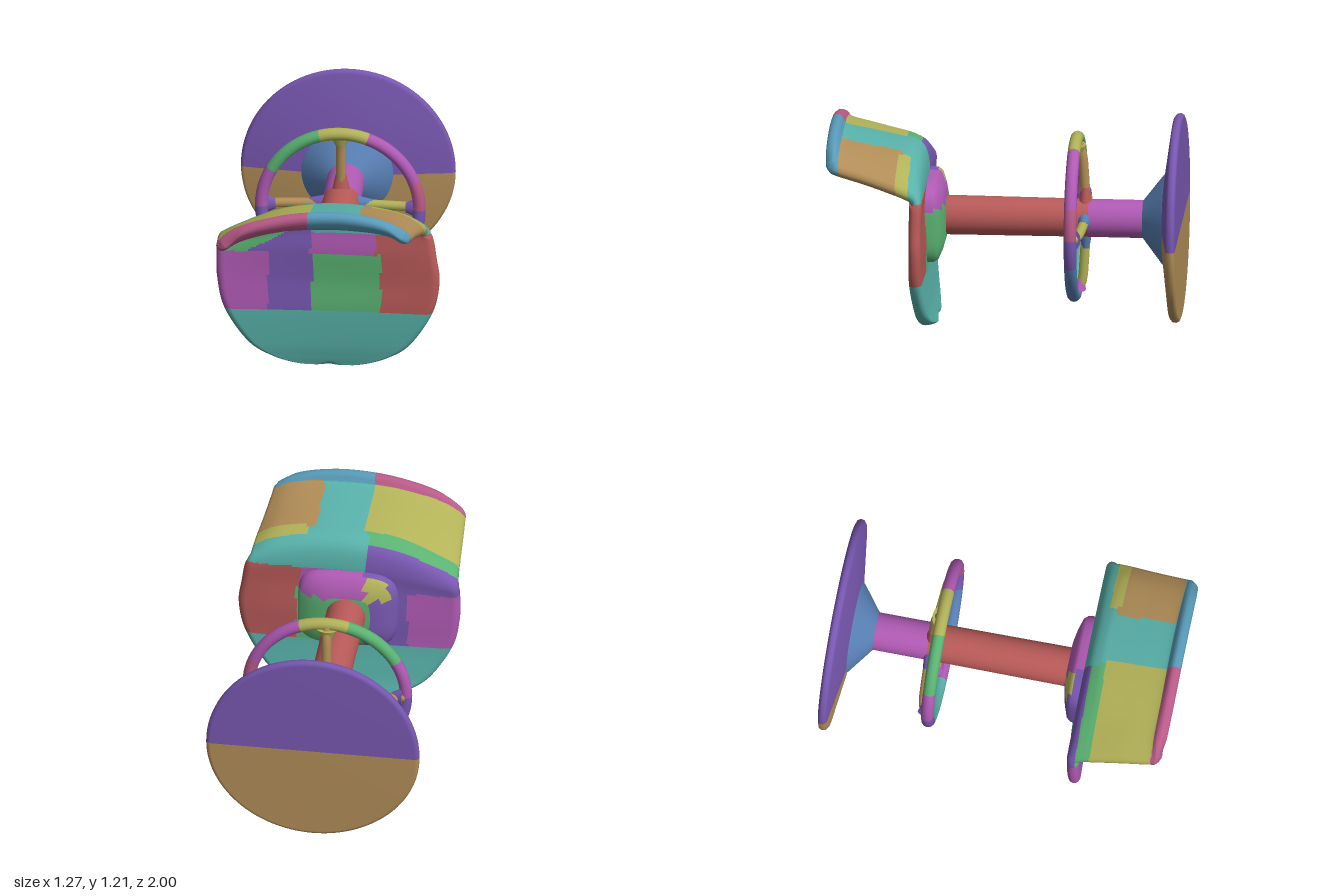
import * as THREE from 'three';
import { mergeVertices } from 'three/addons/utils/BufferGeometryUtils.js';

const colours = {
  red: 0xb85a58, green: 0x5ab272, purple: 0x7958b2, magenta: 0xb05ab4, teal: 0x58b2aa,
  blue: 0x587fb4, olive: 0xb2b258, brown: 0xb28e58, pink: 0xb85a88, cyan: 0x589ab8,
};
const names = Object.keys(colours);

// Colour panels of the seat shell
function panelColour(x, y, z) {
  if (z > 0.92) return x < -0.08 ? 'pink' : 'cyan';
  if (z > 0.57) return x < -0.08 ? 'olive' : x < 0.2 ? 'teal' : x > 0.25 && z < 0.59 ? 'olive' : 'brown';
  if (y < 0.36) return 'teal';
  if (y < 0.72) return x < -0.34 ? 'magenta' : x < -0.09 ? 'purple' : x < 0.3 ? 'green' : 'red';
  if (x < -0.1) return z < 0.49 || y < 0.73 + 0.54 * (x + 0.45) ? 'purple' : 'green';
  if (y < 0.85) return x < 0.27 ? 'magenta' : 'red';
  return x > 0.25 && z > 0.52 ? 'olive' : 'teal';
}

// Colour panels of the mounting plate
function plateColour(x, y, z) {
  if (x > -0.23 && x < -0.1 && y > 0.72 && z < 0.42) return 'olive';
  return x < -0.1 ? 'purple' : y > 0.72 ? 'magenta' : 'green';
}

// Indexed geometry from quads, grouped by the colour at each quad's centre
function paintedQuads(points, quads, paint) {
  const lists = names.map(() => []);
  const c = new THREE.Vector3();
  for (const [a, b, d, e] of quads) {
    c.set(0, 0, 0);
    for (const k of [a, b, d, e]) c.addScaledVector(points[k], 0.25);
    lists[names.indexOf(paint(c.x, c.y, c.z))].push(a, b, d, a, d, e);
  }
  let geo = new THREE.BufferGeometry().setFromPoints(points);
  geo.setIndex(lists.flat());
  let start = 0;
  lists.forEach((l, i) => {
    if (l.length) geo.addGroup(start, l.length, i);
    start += l.length;
  });
  geo = mergeVertices(geo, 1e-5);
  geo.computeVertexNormals();
  return geo;
}

// Curved shell: seat pan bending into a wrapped backrest, thick with rounded rim
function seatShell() {
  const fr = [-1, -0.8, -0.4, 0, 0.4, 0.8, 1];
  const pan = [[0.005, 0.09, 0.412], [0.02, 0.21, 0.418], [0.07, 0.35, 0.435], [0.16, 0.47, 0.455],
    [0.36, 0.592, 0.477], [0.55, 0.632, 0.478]];
  const rows = pan.map(([y, w, z]) => fr.map(f => [f * w, y, z - 0.015 * (1 - f * f) * w / 0.63]));
  // left x, right x, heights across, z
  const back = [
    [-0.635, 0.615, [0.70, 0.72, 0.735, 0.74, 0.735, 0.72, 0.70], 0.477],
    [-0.632, 0.595, [0.76, 0.79, 0.845, 0.87, 0.87, 0.85, 0.82], 0.475],
    [-0.622, 0.565, [0.78, 0.84, 0.93, 0.965, 0.96, 0.92, 0.86], 0.495],
    [-0.615, 0.555, [0.80, 0.865, 0.965, 1.005, 1.0, 0.95, 0.88], 0.54],
    [-0.612, 0.545, [0.82, 0.885, 0.985, 1.02, 1.018, 0.975, 0.90], 0.60],
    [-0.605, 0.52, [0.87, 0.94, 1.02, 1.05, 1.048, 1.01, 0.95], 0.76],
    [-0.597, 0.50, [0.91, 0.985, 1.055, 1.08, 1.08, 1.05, 0.99], 0.915],
    [-0.59, 0.495, [0.925, 1.02, 1.085, 1.115, 1.115, 1.075, 1.01], 0.955],
    [-0.565, 0.47, [0.96, 1.06, 1.135, 1.168, 1.167, 1.12, 1.05], 0.974],
  ];
  for (const [l, r, ys, z] of back) rows.push(ys.map((y, i) => [l + (r - l) * (fr[i] + 1) / 2, y, z]));
  const columns = fr.map((_, i) =>
    new THREE.CatmullRomCurve3(rows.map(p => new THREE.Vector3(...p[i])), false, 'catmullrom'));

  const U = 120, V = 150, grid = [];
  for (let j = 0; j <= V; j++) {
    const cross = new THREE.CatmullRomCurve3(columns.map(c => c.getPoint(j / V)));
    grid.push([]);
    for (let i = 0; i <= U; i++) {
      const t = i / U;
      grid[j].push(cross.getPoint(t - 0.6 * Math.sin(2 * Math.PI * t) / (2 * Math.PI)));
    }
  }
  const at = (i, j) => grid[Math.min(V, Math.max(0, j))][Math.min(U, Math.max(0, i))];
  const front = [], rear = [], quads = [];
  for (let j = 0; j <= V; j++) for (let i = 0; i <= U; i++) {
    const p = grid[j][i];
    const n = at(i + 1, j).clone().sub(at(i - 1, j))
      .cross(at(i, j + 1).clone().sub(at(i, j - 1))).normalize();
    const edge = Math.min(p.distanceTo(at(0, j)), p.distanceTo(at(U, j)), p.distanceTo(at(i, 0)), p.distanceTo(at(i, V)));
    const d = 1 - Math.min(1, edge / 0.045);
    n.multiplyScalar(0.035 * Math.sqrt(1 - d * d));
    front.push(p.clone().add(n));
    rear.push(p.clone().sub(n));
  }
  const N = front.length;
  for (let j = 0; j < V; j++) for (let i = 0; i < U; i++) {
    const a = j * (U + 1) + i, b = a + 1, c = b + U + 1, d = a + U + 1;
    quads.push([a, b, c, d], [N + a, N + d, N + c, N + b]);
  }
  return paintedQuads([...front, ...rear], quads, panelColour);
}

// Rounded-square mounting plate that tapers towards the column
function mountPlate() {
  const sections = [[0.0, 0.335], [0.115, 0.335], [0.17, 0.35], [0.22, 0.372], [0.235, 0.395], [0.24, 0.45]];
  const S = 64, points = [], quads = [];
  for (const [r, z] of sections) for (let k = 0; k < S; k++) {
    const a = k / S * Math.PI * 2, c = Math.cos(a), s = Math.sin(a);
    const m = r / Math.pow(c ** 4 + s ** 4, 0.25);
    points.push(new THREE.Vector3(m * c * 1.2, 0.61 + m * s, z));
  }
  for (let j = 0; j < sections.length - 1; j++) for (let k = 0; k < S; k++) {
    const a = j * S + k, b = j * S + (k + 1) % S;
    quads.push([a, b, b + S, a + S]);
  }
  return paintedQuads(points, quads, plateColour);
}

export function createModel() {
  const group = new THREE.Group();
  const mats = {};
  for (const n of names) {
    mats[n] = new THREE.MeshStandardMaterial({ color: colours[n] });
    mats[n].name = n;
  }
  const all = names.map(n => mats[n]);
  const add = (name, geo, mat) => {
    const m = new THREE.Mesh(geo, mat);
    m.name = name;
    group.add(m);
    return m;
  };
  // Revolved part along z; profile is [radius, z] from back to front
  const turned = (name, profile, mat, y, start = 0, length = Math.PI * 2) => {
    const geo = new THREE.LatheGeometry(profile.map(p => new THREE.Vector2(...p)), 48, start, length);
    geo.rotateX(Math.PI / 2);
    const m = add(name, geo, mat);
    m.position.y = y;
    return m;
  };

  add('seatShell', seatShell(), all);
  add('mountPlate', mountPlate(), all);

  // Column
  turned('upperColumn', [[0.108, -0.47], [0.112, 0.345]], mats.red, 0.61);
  turned('lowerColumn', [[0.108, -0.8], [0.108, -0.47]], mats.magenta, 0.61);

  // Base disc in two halves, with a flared neck
  const disc = [[0, -1], [0.585, -1], [0.603, -0.993], [0.61, -0.98], [0.607, -0.96], [0.59, -0.947], [0.26, -0.9], [0.05, -0.9]];
  const half = Math.PI / 2;
  turned('baseLowerHalf', disc, mats.brown, 0.605, -half, Math.PI).scale.y = 0.943;
  turned('baseUpperHalf', disc, mats.purple, 0.605, half, Math.PI);
  turned('baseNeck', [[0.265, -0.905], [0.252, -0.89], [0.108, -0.778]], mats.blue, 0.61);

  // Foot ring in coloured arcs: start and end angle in degrees
  const arcs = [[0, 22, 'pink'], [22, 70, 'magenta'], [70, 105, 'olive'], [105, 150, 'green'], [150, 180, 'magenta'],
    [180, 205, 'purple'], [205, 262, 'teal'], [262, 280, 'magenta'], [280, 338, 'blue'], [338, 360, 'purple']];
  for (const [a, b, c] of arcs) {
    const geo = new THREE.TorusGeometry(0.449, 0.036, 12, Math.ceil((b - a) / 5), THREE.MathUtils.degToRad(b - a));
    const m = add('footRing', geo, mats[c]);
    m.rotation.z = THREE.MathUtils.degToRad(a);
    m.position.set(0, 0.617, -0.395);
  }

  // Four spokes, each with a stub at the column and a flare at the ring
  const spokes = [['olive', 'blue', 'purple'], ['brown', 'red', 'olive'], ['brown', 'purple', 'purple'], ['olive', 'blue', 'magenta']];
  spokes.forEach(([bar, stub, flare], k) => {
    const path = new THREE.CatmullRomCurve3([[0.08, -0.452], [0.25, -0.443], [0.38, -0.43], [0.44, -0.405]]
      .map(([r, z]) => new THREE.Vector3(r, 0, z)));
    const stubGeo = new THREE.CylinderGeometry(0.03, 0.05, 0.09, 12).rotateZ(-half).scale(1, 1, 0.75).translate(0.135, 0, -0.45);
    const flareGeo = new THREE.CylinderGeometry(0.06, 0.03, 0.06, 12).rotateZ(-half).scale(1, 1, 0.6).translate(0.4, 0, -0.418);
    for (const [name, geo, c] of [['spoke', new THREE.TubeGeometry(path, 12, 0.028, 10), bar],
      ['spokeStub', stubGeo, stub], ['spokeFlare', flareGeo, flare]]) {
      const m = add(name, geo, mats[c]);
      m.rotation.z = k * half;
      m.position.y = 0.615;
    }
  });
  return group;
}
